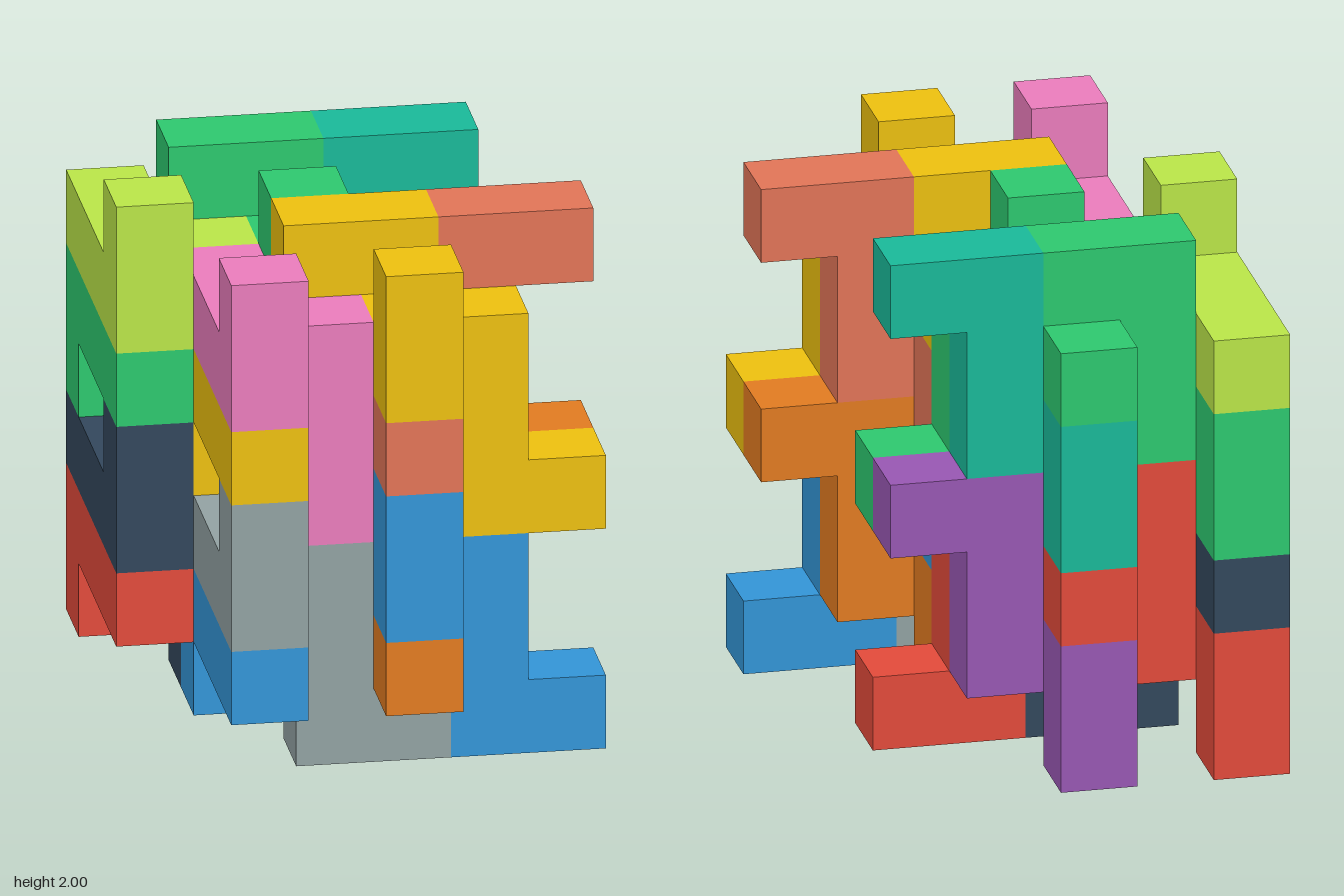
import * as THREE from 'three';
import { mergeGeometries } from 'three/addons/utils/BufferGeometryUtils.js';

const U = 2 / 7; // edge length of one cube cell

const COLORS = {
  yellow: 0xf1c40f, blue: 0x3498db, coral: 0xe67759, orange: 0xe67e22,
  pink: 0xef7fc0, grey: 0x95a5a6, lime: 0xbeea4a, navy: 0x34495e,
  green: 0x2ecc71, red: 0xe74c3c, teal: 0x1abc9c, purple: 0x9b59b6,
};

// A block given by size and centre, both in cells
function block(w, h, d, x, y, z) {
  return new THREE.BoxGeometry(w * U, h * U, d * U).translate(x * U, y * U, z * U);
}

// One interlocking piece of nine cells, centred on its half-turn axis
function pieceGeometry() {
  return mergeGeometries([
    block(1, 1, 4, 0.5, 0.5, 0),     // bar, front to back
    block(1, 1, 1, 0.5, 1.5, 1.5),   // nub at the end of the bar
    block(1, 3, 1, 1.5, -0.5, 0.5),  // post beside the bar
    block(1, 1, 1, 2.5, -1.5, 0.5),  // foot at the end of the post
  ]);
}

// Offset of each pair in cells (x, z); colours of the upright and turned
// pieces, upper layer first
const PAIRS = [
  { x: 0, z: 0, upright: ['yellow', 'blue'], turned: ['coral', 'orange'] },
  { x: -2, z: 0, upright: ['pink', 'grey'], turned: ['yellow', 'blue'] },
  { x: -1, z: -3, upright: ['green', 'red'], turned: ['teal', 'purple'] },
  { x: -3, z: -3, upright: ['lime', 'navy'], turned: ['green', 'red'] },
];

export function createModel() {
  const model = new THREE.Group();
  model.name = 'interlockingBlocks';

  const upright = pieceGeometry();
  const turned = upright.clone().rotateX(Math.PI);
  const materials = {};
  for (const [name, color] of Object.entries(COLORS)) {
    materials[name] = new THREE.MeshStandardMaterial({ color });
  }

  for (const pair of PAIRS) {
    for (let layer = 0; layer < 2; layer++) {
      for (const [kind, geometry] of [['upright', upright], ['turned', turned]]) {
        const color = pair[kind][layer];
        const piece = new THREE.Mesh(geometry, materials[color]);
        piece.name = `${color} ${kind} piece`;
        piece.position.set(pair.x * U, (5 - 3 * layer) * U, (1.5 + pair.z) * U);
        model.add(piece);
      }
    }
  }
  return model;
}
